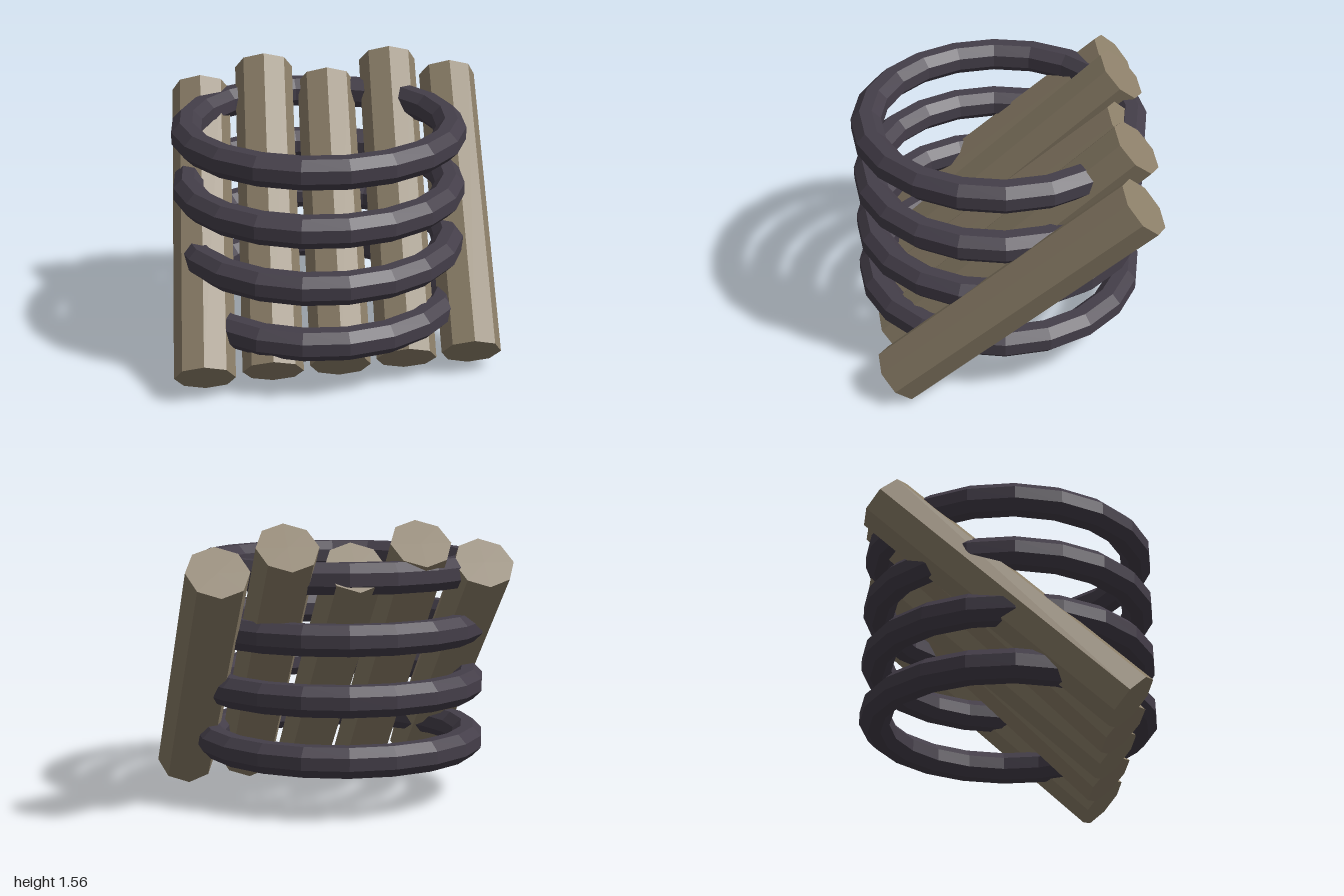
import * as THREE from 'three';

export function createModel() {
  const model = new THREE.Group();
  const wood = new THREE.MeshStandardMaterial({ color: 0x8b7e68, flatShading: true });
  wood.name = 'weathered wood';
  const iron = new THREE.MeshStandardMaterial({ color: 0x443e49, flatShading: true });
  iron.name = 'dark iron';

  // Five leaning eight-sided logs, every second one steeper
  const radius = 0.165;
  for (let i = 0; i < 5; i++) {
    const x = -0.84 + i * 0.37;
    const bottom = new THREE.Vector3(x, 0.12, 0.58);
    const top = new THREE.Vector3(x + 0.19, i % 2 ? 1.45 : 1.337, -0.685);
    const axis = top.clone().sub(bottom);
    const log = new THREE.Mesh(
      new THREE.CylinderGeometry(radius, radius, axis.length(), 8), wood);
    log.name = 'log' + (i + 1);
    log.position.copy(bottom).add(top).multiplyScalar(0.5);
    // Tilt back first, then yaw, so the end faces stay level
    log.rotation.order = 'YXZ';
    log.rotation.x = -Math.atan2(Math.hypot(axis.x, axis.z), axis.y);
    log.rotation.y = Math.atan2(-axis.x, -axis.z);
    model.add(log);
  }

  // Four level rings with an octagonal section
  const section = [];
  for (let i = 0; i <= 8; i++) {
    const a = (i + 0.5) * Math.PI / 4;
    section.push(new THREE.Vector2(0.728 + 0.089 * Math.cos(a), 0.089 * Math.sin(a)));
  }
  const ringShape = new THREE.LatheGeometry(section, 20);
  for (let i = 0; i < 4; i++) {
    const ring = new THREE.Mesh(ringShape, iron);
    ring.name = 'ring' + (i + 1);
    ring.position.set(-0.097, 0.318 + i * 0.321, 0);
    model.add(ring);
  }
  return model;
}
